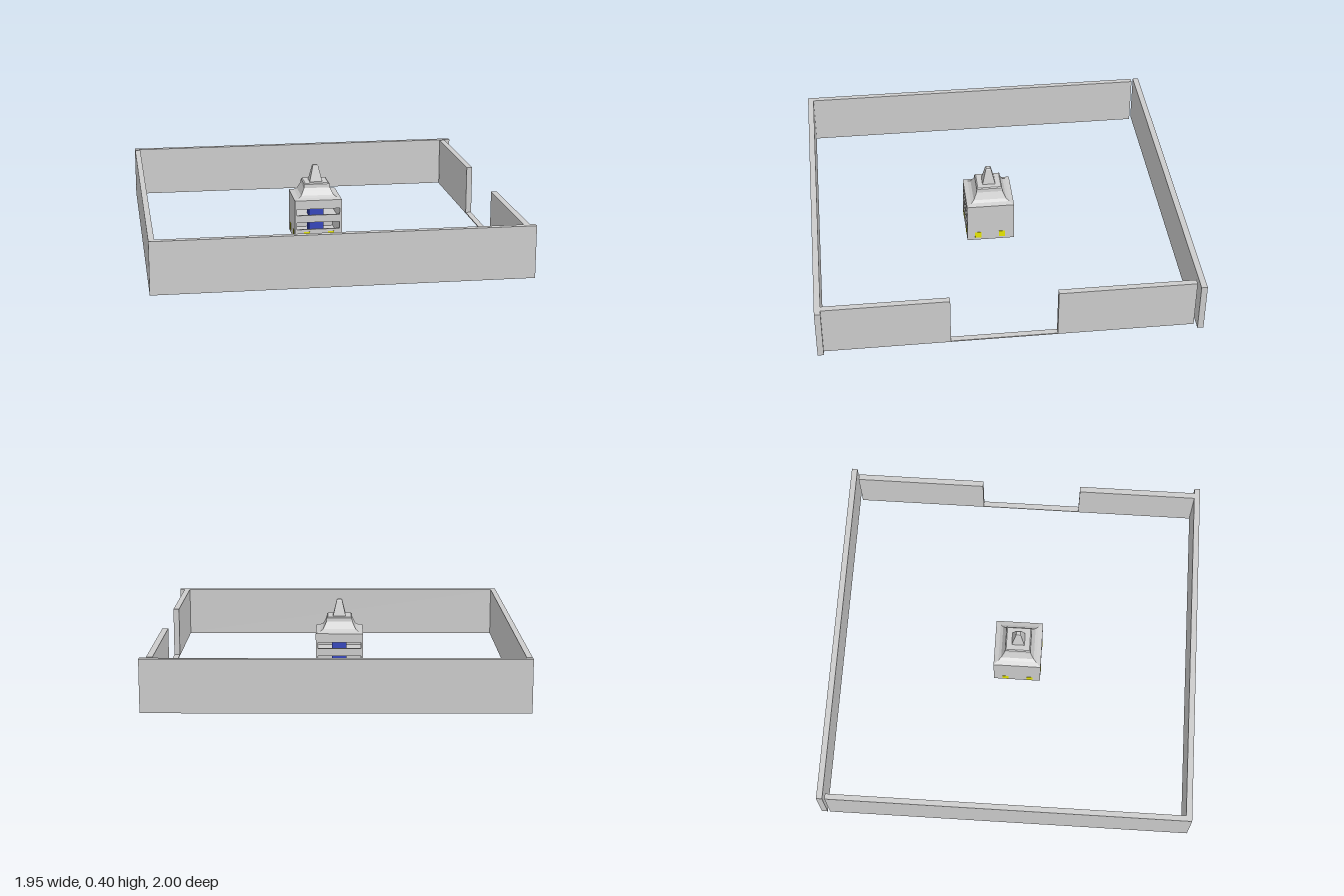
import * as THREE from 'three';

const mat = (color) => new THREE.MeshStandardMaterial({ color });
const grey = mat(0xcccccc), yellow = mat(0xe6e600), blue = mat(0x3344bb);

// Box given by its lower and upper limits on each axis
function box(parent, name, [x0, x1], [y0, y1], [z0, z1], material = grey) {
  const mesh = new THREE.Mesh(new THREE.BoxGeometry(x1 - x0, y1 - y0, z1 - z0), material);
  mesh.position.set((x0 + x1) / 2, (y0 + y1) / 2, (z0 + z1) / 2);
  mesh.name = name;
  parent.add(mesh);
  return mesh;
}

// Four-sided solid from [half width, height] pairs, listed upwards
function squareLoft(parent, name, profile) {
  const points = profile.map(([h, y]) => new THREE.Vector2(h * Math.SQRT2, y));
  points.unshift(new THREE.Vector2(0, profile[0][1]));
  points.push(new THREE.Vector2(0, profile.at(-1)[1]));
  const geometry = new THREE.LatheGeometry(points, 4, Math.PI / 4).toNonIndexed();
  geometry.computeVertexNormals();
  const mesh = new THREE.Mesh(geometry, grey);
  mesh.name = name;
  parent.add(mesh);
}

export function createModel() {
  const model = new THREE.Group();

  // Enclosure, with a gateway in the +x side
  const walls = new THREE.Group();
  walls.name = 'enclosureWalls';
  const tall = [0.01, 0.285];
  box(walls, 'frontWall', [-0.975, 0.97], tall, [0.968, 1]);
  box(walls, 'backWall', [-0.975, 0.975], tall, [-1, -0.968]);
  box(walls, 'sideWall', [-0.975, -0.945], tall, [-0.955, 0.968]);
  box(walls, 'gateWallBack', [0.91, 0.942], tall, [-0.955, -0.24]);
  box(walls, 'gateWallFront', [0.91, 0.942], tall, [0.315, 0.968]);
  box(walls, 'gateSill', [0.91, 0.942], [0.01, 0.016], [-0.24, 0.315]);
  model.add(walls);

  // Tower, built about its own centre
  const tower = new THREE.Group();
  tower.name = 'tower';
  tower.position.set(-0.015, 0, 0.02);
  const h = 0.13, t = 0.012;
  box(tower, 'floor', [-h, h], [0, 0.012], [-h, h]);
  for (const y of [0.105, 0.18]) {
    box(tower, 'upperFloor', [-h + t, h - t], [y, y + 0.01], [-h + t, h - t]);
  }

  for (const s of [-1, 1]) {
    // Closed side walls
    const span = (a, b) => (s > 0 ? [a, b] : [-b, -a]);
    box(tower, 'towerSideWall', span(h - t, h), [0.012, 0.225], [-h, h]);
    // Horizontal bands with open slots between them
    for (const [y0, y1] of [[0.012, 0.065], [0.105, 0.145], [0.18, 0.225]]) {
      box(tower, 'towerBand', [-h + t, h - t], [y0, y1], span(h - t, h));
    }
    // Small yellow windows near the ground
    for (const c of [-0.064, 0.07]) {
      box(tower, 'sideWindow', span(h - 0.004, h + 0.002), [0.015, 0.052], [c - 0.017, c + 0.017], yellow);
      box(tower, 'endWindow', [c - 0.017, c + 0.017], [0.015, 0.052], span(h - 0.004, h + 0.002), yellow);
    }
  }

  // Furnishing seen through the slots
  box(tower, 'lowerFurnishing', [-0.04, 0.04], [0.012, 0.085], [-0.04, 0.04], blue);
  box(tower, 'upperFurnishing', [-0.04, 0.04], [0.115, 0.165], [-0.04, 0.04], blue);

  // Flared roof, cap and spire
  squareLoft(tower, 'roof', [[0.13, 0.222], [0.13, 0.229], [0.105, 0.237], [0.09, 0.247],
    [0.08, 0.268], [0.071, 0.287]]);
  squareLoft(tower, 'roofCap', [[0.072, 0.285], [0.07, 0.305], [0.064, 0.31]]);
  squareLoft(tower, 'spire', [[0.035, 0.31], [0.015, 0.395], [0.011, 0.4]]);
  model.add(tower);

  return model;
}
